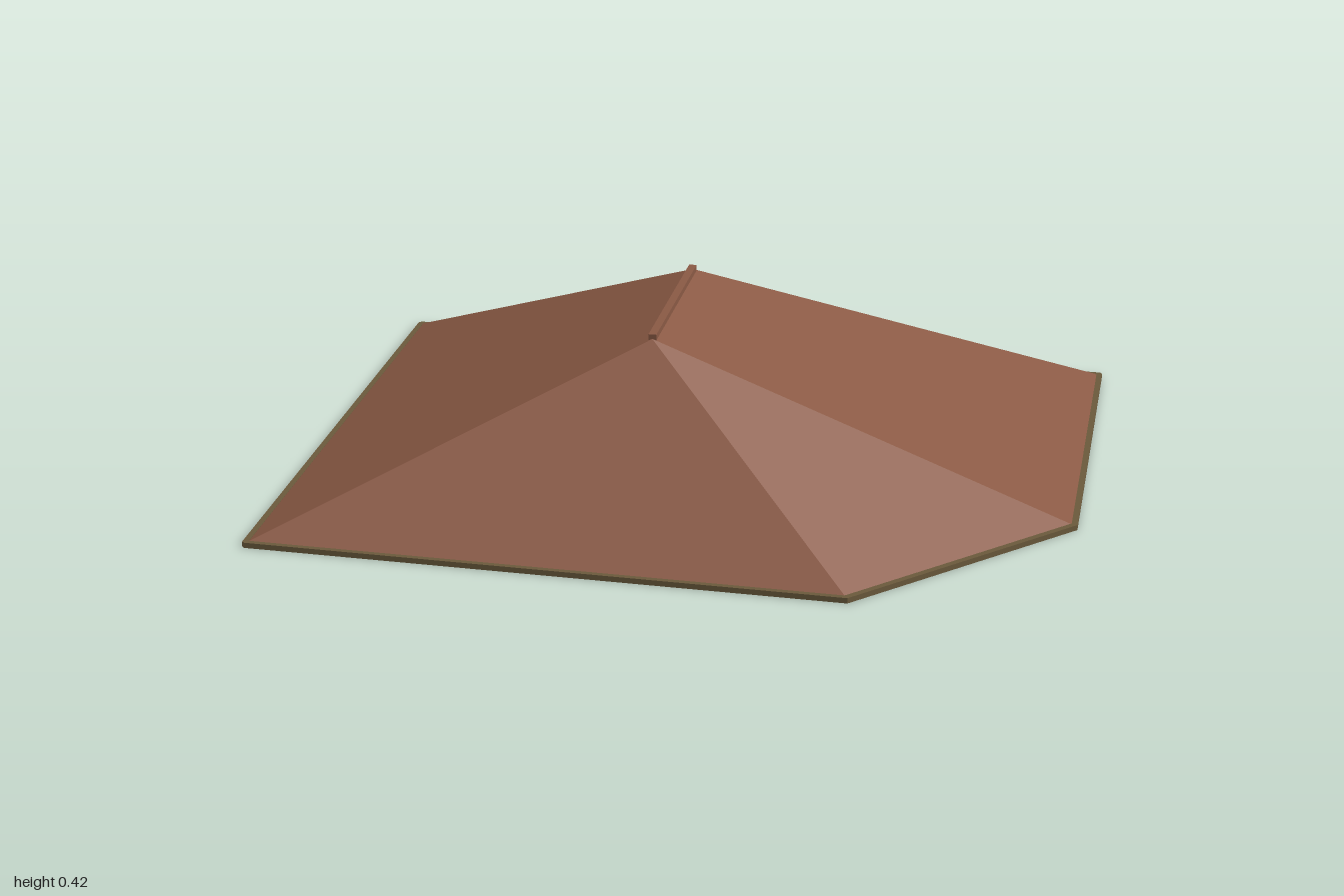
import * as THREE from 'three';

export function createModel() {
  const model = new THREE.Group();
  const roofMat = new THREE.MeshStandardMaterial({ name: 'clay roof', color: 0x8b5a45, side: THREE.DoubleSide });
  const trimMat = new THREE.MeshStandardMaterial({ name: 'olive eave trim', color: 0x6b5a3c });

  // Eave outline, counter-clockwise seen from above, and the two ridge ends
  const eaveY = 0.01;
  const eaves = [[-0.993, 0.738], [0.493, 0.738], [0.991, 0.243], [0.991, -0.742], [-0.993, -0.742]]
    .map(([x, z]) => new THREE.Vector3(x, eaveY, z));
  const [frontL, frontR, sideR, backR, backL] = eaves;
  const ridgeFront = new THREE.Vector3(-0.085, 0.412, 0.212);
  const ridgeBack = new THREE.Vector3(-0.085, 0.412, -0.298);

  // Roof slopes: an open shell, each slope a flat triangle or quad
  const slopes = {
    frontSlope: [frontL, frontR, ridgeFront],
    cornerSlope: [frontR, sideR, ridgeFront],
    leftSlope: [sideR, backR, ridgeBack, ridgeFront],
    backSlope: [backR, backL, ridgeBack],
    rightSlope: [backL, frontL, ridgeFront, ridgeBack],
  };
  for (const [name, c] of Object.entries(slopes)) {
    const points = c.length === 4 ? [c[0], c[1], c[2], c[0], c[2], c[3]] : c;
    const geometry = new THREE.BufferGeometry().setFromPoints(points);
    geometry.computeVertexNormals();
    const mesh = new THREE.Mesh(geometry, roofMat);
    mesh.name = name;
    model.add(mesh);
  }

  // Square bar laid from a to b
  function bar(name, a, b, width, height, y, material, extra = 0) {
    const geometry = new THREE.BoxGeometry(width, height, a.distanceTo(b) + extra);
    const mesh = new THREE.Mesh(geometry, material);
    mesh.position.addVectors(a, b).multiplyScalar(0.5).setY(y);
    mesh.rotation.y = Math.atan2(b.x - a.x, b.z - a.z);
    mesh.name = name;
    model.add(mesh);
  }

  // Ridge cap
  bar('ridgeCap', ridgeFront, ridgeBack, 0.02, 0.016, 0.416, roofMat);

  // Thin trim along every eave
  eaves.forEach((a, i) => {
    bar('eaveTrim' + (i + 1), a, eaves[(i + 1) % eaves.length], 0.015, 0.014, 0.007, trimMat, 0.006);
  });

  return model;
}
